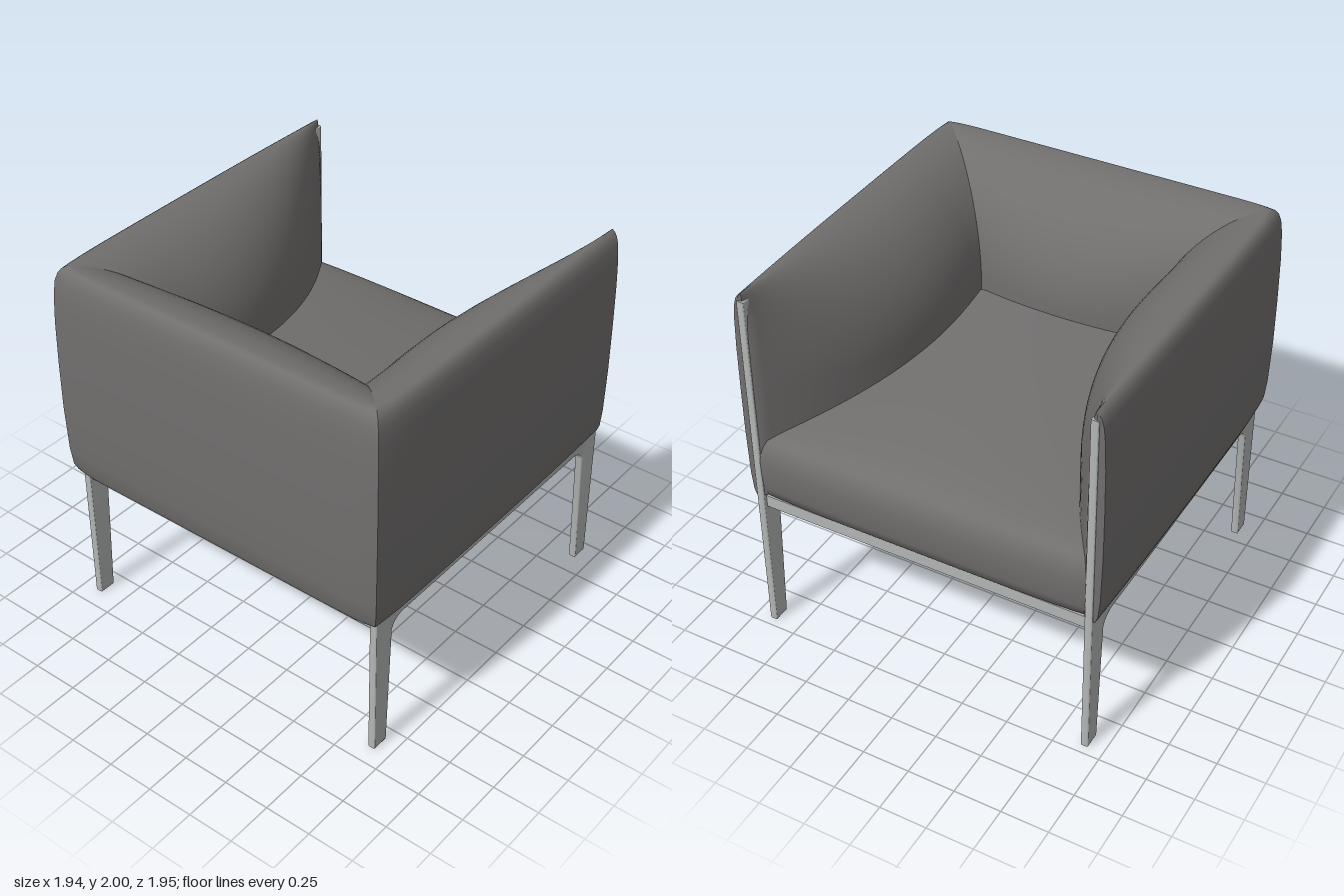
import * as THREE from 'three';
import { toCreasedNormals } from 'three/addons/utils/BufferGeometryUtils.js';

const fabric = new THREE.MeshStandardMaterial({ color: 0x716f6e, side: THREE.DoubleSide });
fabric.name = 'grey fabric';
const metal = new THREE.MeshStandardMaterial({ color: 0xb2b6b4 });
metal.name = 'satin metal';
const dark = new THREE.MeshStandardMaterial({ color: 0x535353 });
dark.name = 'dark underside';

// Skins a list of cross-sections, each a list of [x, y, z]
function loft(rows, flip = false) {
  const n = rows[0].length, index = [];
  for (let i = 0; i < rows.length - 1; i++) {
    for (let j = 0; j < n - 1; j++) {
      const a = i * n + j, b = a + n, c = a + 1, d = b + 1;
      if (flip) index.push(a, c, b, b, c, d);
      else index.push(a, b, c, b, d, c);
    }
  }
  const g = new THREE.BufferGeometry();
  g.setAttribute('position', new THREE.Float32BufferAttribute(rows.flat(2), 3));
  g.setIndex(index);
  return toCreasedNormals(g, 0.95);
}

// Upholstery section: outer panel points [distance from centre, y], then a padded inner curve
const OUTER = [[0.925, 0.81], [0.945, 0.815], [0.958, 0.85], [0.967, 0.95], [0.973, 1.2], [0.973, 1.45],
  [0.97, 1.7], [0.964, 1.85], [0.956, 1.925], [0.945, 1.965], [0.932, 1.986], [0.917, 1.996]];
const INNER = [];
for (let k = 0; k <= 18; k++) {
  const a = (k / 18) * Math.PI / 2;
  INNER.push([Math.pow(Math.sin(a), 1.1), 1.4 + 0.598 * Math.cos(a)]);
}
INNER.push([1, 1.2], [1, 1], [1, 0.83]);
const PAD = 0.43;

function section(pad, trim) {
  const pts = OUTER.map(([w, y]) => [w - trim, y]);
  INNER.forEach(([s, y]) => pts.push([0.9 - pad * s, y]));
  pts.push(pts[0]);
  return pts;
}

// Arm: mitred at the rear, fullest just ahead of it, thinning to the front edge
function armGeometry(side) {
  const rows = [], start = section(PAD, 0.015);
  const steps = 32;
  const pad = (x) => (x < -0.2
    ? 0.443 - 0.013 * Math.min(1, ((x + 0.2) / 0.25) ** 2)
    : 0.443 - 0.421 * Math.pow((x + 0.2) / 1.15, 2));
  for (let i = 0; i <= steps; i++) {
    const u = i / steps;
    const trim = 0.015 * Math.pow(1 - u, 16) + 0.016 * u ** 4;
    rows.push(start.map(([w0, y], j) => {
      const x = THREE.MathUtils.lerp(-w0, 0.945, u);
      return [x, y, side * section(pad(x), trim)[j][0]];
    }));
  }
  // Close the front edge
  rows.push(rows[steps].map(([, y]) => [0.951, THREE.MathUtils.clamp(y, 0.83, 1.985), side * 0.91]));
  return loft(rows, side < 0);
}

// Back: mitred at both ends, fullest in the middle
function backGeometry() {
  const rows = [], end = section(PAD, 0.015);
  for (let i = 0; i <= 32; i++) {
    const u = i / 16 - 1;
    const mid = section(PAD + 0.07 * (1 - u * u), 0.015 * Math.pow(Math.abs(u), 16));
    rows.push(end.map(([w0, y], j) => [-mid[j][0], y, u * w0]));
  }
  return loft(rows);
}

// Seat: rounded front, crowned top rising to the back
function seatGeometry() {
  const rows = [];
  for (let i = 0; i <= 24; i++) {
    const z = 0.881 * (i / 12 - 1);
    const inset = 0.015 * Math.pow(z / 0.88, 4);
    const row = [[-0.85, 0.82], [0.925, 0.815], [0.948, 0.83], [0.96, 0.88], [0.968, 0.96], [0.97, 1.03],
      [0.964, 1.08], [0.95, 1.125], [0.93, 1.155]].map(([x, y]) => [x - (x > 0 ? inset : 0), y, z]);
    for (let k = 0; k <= 18; k++) {
      const t = 0.012 + Math.pow(k / 18, 1.6);
      row.push([0.915 - inset - 1.36 * t, 1.155 + 0.222 * Math.pow(t, 0.53) * (1 - 0.65 * z * z), z]);
    }
    rows.push(row);
  }
  return loft(rows, true);
}

// Side frame: two tapered legs, a rail and a front upright in one plate
function frameGeometry() {
  const b = 0.007;
  const s = new THREE.Shape();
  s.moveTo(-0.905 + b, 0.002 + b);
  s.lineTo(-0.812 - b, 0.002 + b);
  s.lineTo(-0.783 - b, 0.69);
  s.quadraticCurveTo(-0.778, 0.748 - b, -0.71, 0.748 + b);
  s.lineTo(0.76, 0.748 + b);
  s.quadraticCurveTo(0.828, 0.748 - b, 0.833 + b, 0.69);
  s.lineTo(0.865 + b, 0.002 + b);
  s.lineTo(0.957 - b, 0.002 + b);
  s.lineTo(0.957 - b, 1.96 - b);
  s.lineTo(0.915, 1.96 - b);
  s.lineTo(0.905, 0.82);
  s.lineTo(-0.905 + b, 0.82);
  const g = new THREE.ExtrudeGeometry(s, { depth: 0.04 - 2 * b, bevelEnabled: true,
    bevelSize: b, bevelThickness: b, bevelOffset: 0, bevelSegments: 3, curveSegments: 10 });
  g.translate(0, 0, -0.02 + b);
  return toCreasedNormals(g, 0.7);
}

export function createModel() {
  const model = new THREE.Group();
  model.name = 'armchair';
  const add = (name, geometry, material, x = 0, y = 0, z = 0) => {
    const mesh = new THREE.Mesh(geometry, material);
    mesh.name = name;
    mesh.position.set(x, y, z);
    model.add(mesh);
  };

  add('backrest', backGeometry(), fabric);
  add('seat', seatGeometry(), fabric);
  for (const side of [1, -1]) {
    const label = side > 0 ? 'left' : 'right';
    add(label + 'Arm', armGeometry(side), fabric);
    add(label + 'Frame', frameGeometry(), metal, 0, 0, side * 0.9);
    // Thin floor glides under the legs
    add(label + 'BackFoot', new THREE.BoxGeometry(0.085, 0.003, 0.034), dark, -0.858, 0.0015, side * 0.9);
    add(label + 'FrontFoot', new THREE.BoxGeometry(0.085, 0.003, 0.034), dark, 0.911, 0.0015, side * 0.9);
  }
  // Cross rails and underside panel
  add('frontRail', new THREE.BoxGeometry(0.04, 0.067, 1.78), metal, 0.915, 0.7835, 0);
  add('backRail', new THREE.BoxGeometry(0.04, 0.067, 1.78), metal, -0.87, 0.7835, 0);
  add('undersidePanel', new THREE.BoxGeometry(1.745, 0.03, 1.75), dark, 0.0225, 0.805, 0);
  return model;
}
